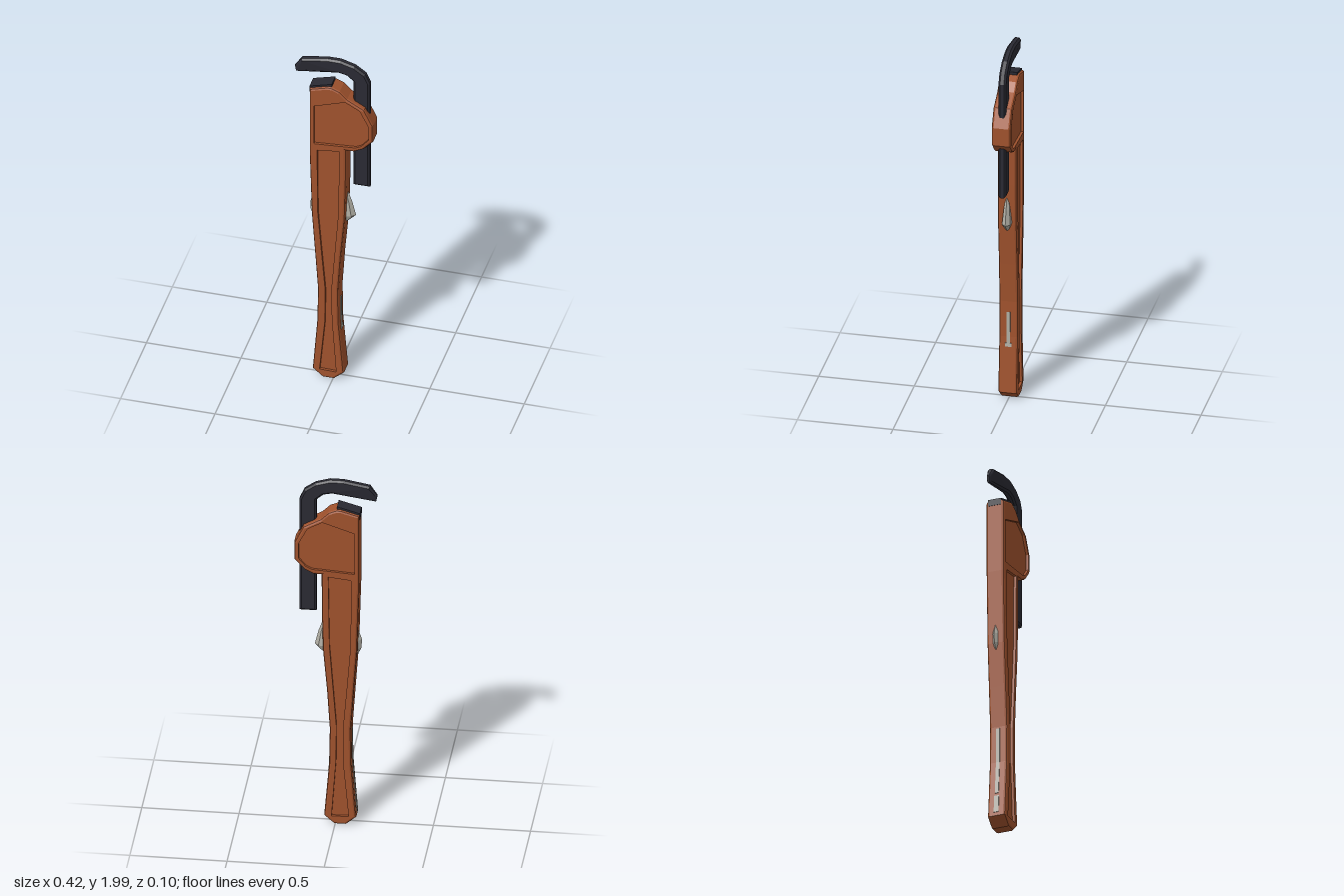
import * as THREE from 'three';
import { mergeGeometries } from 'three/addons/utils/BufferGeometryUtils.js';

const mat = (name, color, opts = {}) => {
  const m = new THREE.MeshStandardMaterial({ color, flatShading: true, ...opts });
  m.name = name;
  return m;
};
const toPts = (list) => list.map(([x, y]) => new THREE.Vector2(x, y));

// counter-clockwise outline of the handle and head
const OUTLINE = toPts([
  [-0.055, 0.005], [0.005, 0.005], [0.057, 0.05], [0.031, 0.36], [0.028, 0.56], [0.042, 0.78],
  [0.063, 1.02], [0.069, 1.25], [0.07, 1.46], [0.11, 1.46], [0.16, 1.485], [0.211, 1.54], [0.211, 1.64],
  [0.165, 1.735], [0.075, 1.785], [0.035, 1.825], [-0.005, 1.842], [-0.03, 1.842], [-0.125, 1.815],
  [-0.125, 1.42], [-0.113, 1.02], [-0.096, 0.78], [-0.081, 0.56], [-0.084, 0.36], [-0.108, 0.05],
]);
const HANDLE_PANEL = toPts([
  [-0.07, 0.055], [0.018, 0.052], [-0.005, 0.38], [-0.007, 0.58], [0.01, 0.8], [0.029, 1.05],
  [0.035, 1.45], [-0.083, 1.437], [-0.08, 1.05], [-0.06, 0.8], [-0.04, 0.56], [-0.042, 0.36],
]);
const HEAD_PANEL = toPts([
  [-0.1, 1.475], [0.12, 1.49], [0.15, 1.505], [0.188, 1.55], [0.188, 1.635],
  [0.142, 1.725], [0.065, 1.767], [-0.1, 1.712],
]);

// moves each corner of a counter-clockwise loop inwards by d
function inset(loop, d) {
  const n = loop.length;
  return loop.map((p, i) => {
    const a = p.clone().sub(loop[(i + n - 1) % n]).normalize();
    const b = loop[(i + 1) % n].clone().sub(p).normalize();
    const na = new THREE.Vector2(-a.y, a.x), nb = new THREE.Vector2(-b.y, b.x);
    const m = na.clone().add(nb);
    return p.clone().addScaledVector(m, d / (1 + na.dot(nb)));
  });
}

// non-indexed geometry from flat positions
function fromPositions(pos) {
  const g = new THREE.BufferGeometry();
  g.setAttribute('position', new THREE.Float32BufferAttribute(pos, 3));
  return g;
}

// wall between two loops at two depths
function band(a, za, b, zb) {
  const pos = [];
  a.forEach((p, i) => {
    const j = (i + 1) % a.length;
    const q = a[j], r = b[j], s = b[i];
    pos.push(p.x, p.y, za, q.x, q.y, za, r.x, r.y, zb, p.x, p.y, za, r.x, r.y, zb, s.x, s.y, zb);
  });
  return fromPositions(pos);
}

function face(loop, z, holes = []) {
  const s = new THREE.Shape(loop);
  s.holes = holes.map((h) => new THREE.Path(h));
  const g = new THREE.ShapeGeometry(s).toNonIndexed().translate(0, 0, z);
  g.deleteAttribute('uv');
  g.deleteAttribute('normal');
  return g;
}

// mirrors a geometry front to back, keeping faces outward
function mirrorZ(g) {
  const p = g.attributes.position, out = [];
  for (let i = 0; i < p.count; i += 3)
    for (const k of [i, i + 2, i + 1]) out.push(p.getX(k), p.getY(k), -p.getZ(k));
  return fromPositions(out);
}

// rounded body with a recessed panel in the handle and one in the head
function bodyGeometry() {
  const panels = [HANDLE_PANEL, HEAD_PANEL];
  const mid = inset(OUTLINE, 0.004), rim = inset(OUTLINE, 0.012);
  const parts = [
    band(OUTLINE, 0, OUTLINE, 0.038),
    band(OUTLINE, 0.038, mid, 0.046),
    band(mid, 0.046, rim, 0.05),
    face(rim, 0.05, panels),
  ];
  for (const p of panels) {
    const cw = [...p].reverse();
    parts.push(band(cw, 0.036, cw, 0.05), face(p, 0.036));
  }
  const half = mergeGeometries(parts);
  const g = mergeGeometries([half, mirrorZ(half)]);
  g.computeVertexNormals();
  return g;
}

// slab with bevelled edges, centred on z = 0
function slab(points, halfDepth, bevel) {
  return new THREE.ExtrudeGeometry(new THREE.Shape(toPts(points)), {
    depth: 2 * (halfDepth - bevel), bevelEnabled: bevel > 0, bevelSegments: 1,
    bevelThickness: bevel, bevelSize: bevel, bevelOffset: -bevel,
  }).translate(0, 0, bevel - halfDepth);
}

export function createModel() {
  const orange = mat('rust orange paint', 0xa0522d);
  const dark = mat('dark steel', 0x2a2a33);
  const silver = mat('bare metal', 0xb0aea4);
  const model = new THREE.Group();
  model.name = 'pipeWrench';
  const add = (name, geometry, material) => {
    const m = new THREE.Mesh(geometry, material);
    m.name = name;
    model.add(m);
    return m;
  };

  add('body', bodyGeometry(), orange);

  // hook jaw, with a tip that narrows
  const hook = slab([
    [0.1, 1.23], [0.187, 1.23], [0.187, 1.88], [0.162, 1.935], [0.105, 1.975], [0.03, 1.997], [-0.04, 1.997],
    [-0.175, 1.973], [-0.213, 1.92], [-0.206, 1.885], [0.02, 1.92], [0.065, 1.91], [0.1, 1.88],
  ], 0.02, 0.01);
  const p = hook.attributes.position;
  for (let i = 0; i < p.count; i++) if (p.getX(i) < -0.185) p.setZ(i, p.getZ(i) * 0.5);
  hook.computeVertexNormals();
  add('hookJaw', hook, dark);

  // slanted heel jaw set in the top of the head
  add('heelJaw', slab([[-0.127, 1.79], [-0.009, 1.79], [-0.009, 1.858], [-0.127, 1.825]], 0.036, 0), dark);

  // faceted adjusting nut showing on both edges
  const nut = (name, x, profile, depth) => {
    const m = add(name, new THREE.LatheGeometry(toPts(profile), 8), silver);
    m.position.x = x;
    m.scale.z = depth;
  };
  nut('leftNut', 0.04, [[0, 0.965], [0.025, 0.985], [0.07, 1.03], [0.05, 1.11], [0.025, 1.18], [0, 1.2]], 0.43);
  nut('rightNut', -0.083, [[0, 0.96], [0.03, 0.985], [0.047, 1.02], [0.05, 1.07], [0.027, 1.14], [0, 1.17]], 0.4);

  // thin metal strips along the handle edges
  const strip = (name, x0, y0, x1, y1, width) => {
    const m = add(name, new THREE.BoxGeometry(0.006, Math.hypot(x1 - x0, y1 - y0), width), silver);
    m.position.set((x0 + x1) / 2, (y0 + y1) / 2, 0);
    m.rotation.z = Math.atan2(x0 - x1, y1 - y0);
  };
  strip('leftStrip', 0.033, 0.32, 0.029, 0.5, 0.018);
  strip('leftStripFoot', 0.036, 0.305, 0.034, 0.325, 0.034);
  strip('rightStripUpper', -0.084, 0.36, -0.0815, 0.55, 0.02);
  strip('rightStripLower', -0.099, 0.18, -0.084, 0.36, 0.02);
  strip('rightStripFoot', -0.107, 0.07, -0.1, 0.165, 0.026);

  return model;
}
